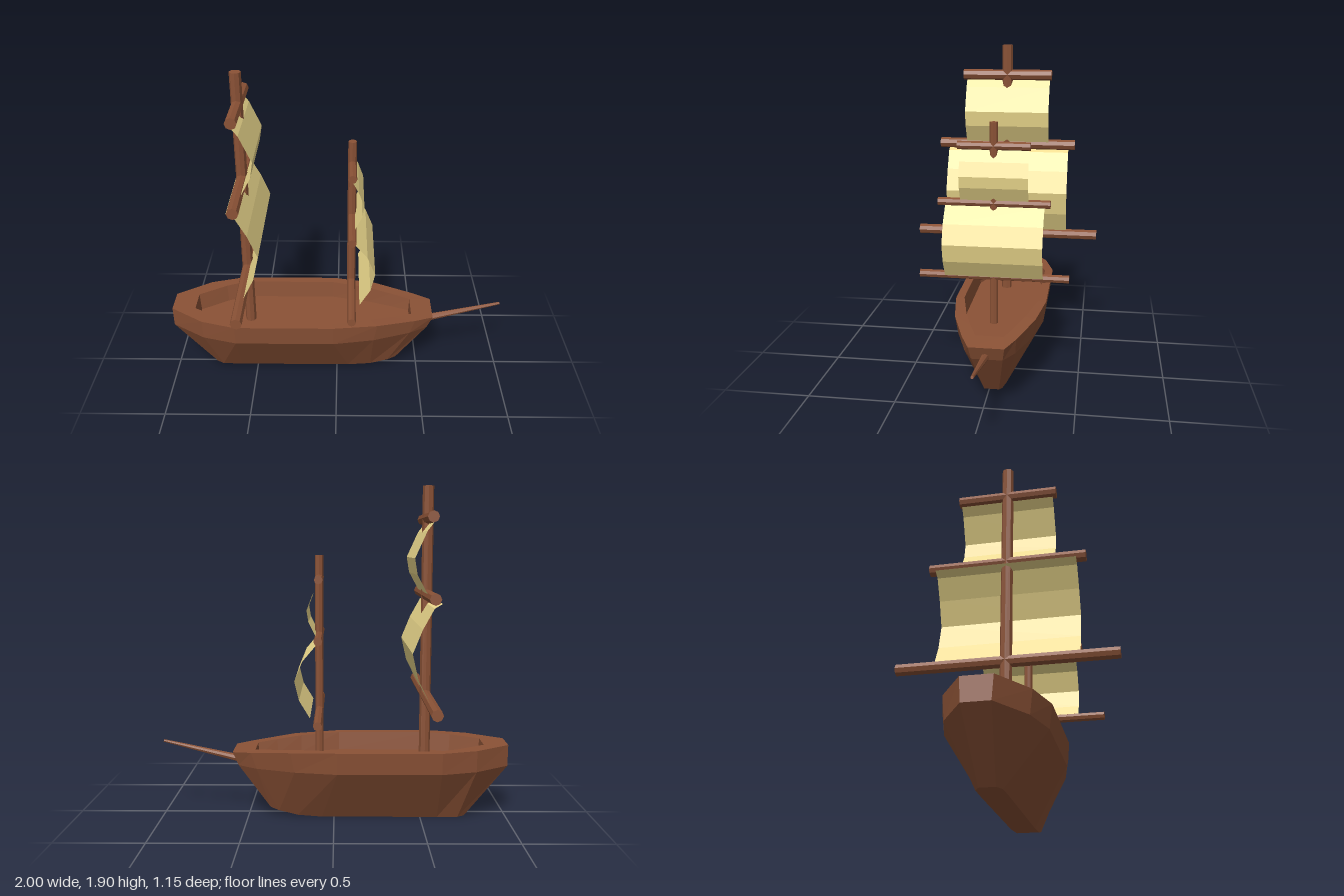
import * as THREE from 'three';

const wood = new THREE.MeshStandardMaterial({ color: 0x8b5236, flatShading: true });
const cloth = new THREE.MeshStandardMaterial({ color: 0xf0dc8f, flatShading: true, side: THREE.DoubleSide });
const HULL_Z = -0.027;

// Half outlines, stern to bow, as [x, y, half width]
const bottom = [[-0.76, 0, 0.04], [-0.72, 0, 0.063], [-0.6, 0, 0.065], [0.07, 0, 0.065], [0.21, 0.01, 0.063], [0.32, 0.035, 0.055], [0.37, 0.05, 0.042]];
const knuckle = [[-1, 0.31, 0.07], [-0.8, 0.31, 0.2], [-0.6, 0.31, 0.256], [-0.02, 0.31, 0.256], [0.22, 0.31, 0.215], [0.44, 0.31, 0.14], [0.548, 0.315, 0.085]];
const rim = [[-1, 0.435, 0.078], [-0.8, 0.435, 0.212], [-0.6, 0.435, 0.271], [-0.02, 0.435, 0.271], [0.24, 0.426, 0.23], [0.47, 0.405, 0.148], [0.58, 0.395, 0.097]];
const inner = [[-0.86, 0.435, 0.073], [-0.7, 0.435, 0.172], [-0.58, 0.435, 0.222], [-0.03, 0.435, 0.222], [0.2, 0.428, 0.17], [0.34, 0.416, 0.122], [0.45, 0.407, 0.078]];
const deck = inner.map(([x, , w]) => [x * 0.99, 0.33, w - 0.012]);

function add(group, name, geometry, material) {
  const mesh = new THREE.Mesh(geometry, material);
  mesh.name = name;
  group.add(mesh);
  return mesh;
}

// Skin the outlines from keel to rim and down to the deck
function hullGeometry() {
  const closed = (half) => [
    ...half.map(([x, y, w]) => [x, y, HULL_Z - w]),
    ...[...half].reverse().map(([x, y, w]) => [x, y, HULL_Z + w]),
  ];
  const rings = [bottom, knuckle, rim, inner, deck].map(closed);
  const count = rings[0].length;
  const pos = [];
  const quad = (a, b, c, d) => pos.push(...a, ...b, ...c, ...a, ...c, ...d);
  for (let r = 0; r < rings.length - 1; r++) {
    for (let i = 0; i < count; i++) {
      const j = (i + 1) % count;
      quad(rings[r][j], rings[r][i], rings[r + 1][i], rings[r + 1][j]);
    }
  }
  // Deck and keel caps join the two sides
  const keel = rings[0], floor = rings[rings.length - 1];
  for (let i = 0; i < count / 2 - 1; i++) {
    const m = count - 1 - i;
    quad(floor[i], floor[m], floor[m - 1], floor[i + 1]);
    quad(keel[i + 1], keel[m - 1], keel[m], keel[i]);
  }
  const g = new THREE.BufferGeometry();
  g.setAttribute('position', new THREE.Float32BufferAttribute(pos, 3));
  g.computeVertexNormals();
  return g;
}

// Tapered round spar between two points
function spar(group, name, from, to, r0, r1 = r0) {
  const a = new THREE.Vector3(...from), b = new THREE.Vector3(...to);
  const dir = b.clone().sub(a);
  const mesh = add(group, name, new THREE.CylinderGeometry(r1, r0, dir.length(), 8), wood);
  mesh.position.copy(a).add(b).multiplyScalar(0.5);
  mesh.quaternion.setFromUnitVectors(new THREE.Vector3(0, 1, 0), dir.normalize());
}

// Sail swept across the ship from an [x, y] profile running top to bottom
function sail(group, name, profile, halfWidth) {
  const g = new THREE.PlaneGeometry(1, 1, 1, profile.length - 1);
  const p = g.attributes.position;
  for (let i = 0; i < p.count; i++) {
    const [x, y] = profile[Math.floor(i / 2)];
    p.setXYZ(i, x, y, (i % 2 ? -halfWidth : halfWidth) - 0.004);
  }
  g.computeVertexNormals();
  add(group, name, g, cloth);
}

function rig(name, { x, top, radius, yards, sails }) {
  const group = new THREE.Group();
  group.name = name;
  spar(group, 'mast', [x, 0.32, 0], [x, top, 0], radius);
  yards.forEach(([y, half]) => spar(group, 'yard', [x, y, -half], [x, y, half], radius));
  sails.forEach(([profile, half]) => sail(group, 'sail', profile, half));
  return group;
}

export function createModel() {
  const ship = new THREE.Group();
  ship.name = 'sailingShip';
  add(ship, 'hull', hullGeometry(), wood);
  spar(ship, 'bowsprit', [0.52, 0.322, -0.018], [0.995, 0.438, -0.025], 0.023, 0.008);

  ship.add(rig('mainRig', {
    x: -0.53, top: 1.9, radius: 0.032,
    yards: [[1.72, 0.273], [1.29, 0.425], [0.71, 0.577]],
    sails: [
      [[[-0.535, 1.69], [-0.5, 1.645], [-0.435, 1.5], [-0.45, 1.41], [-0.51, 1.3]], 0.258],
      [[[-0.572, 1.265], [-0.53, 1.24], [-0.47, 1.13], [-0.418, 1], [-0.45, 0.86], [-0.51, 0.74]], 0.38],
    ],
  }));
  ship.add(rig('foreRig', {
    x: 0.085, top: 1.515, radius: 0.024,
    yards: [[1.382, 0.205], [1.057, 0.32], [0.62, 0.434]],
    sails: [
      [[[0.085, 1.36], [0.12, 1.295], [0.15, 1.215], [0.14, 1.15], [0.1, 1.07]], 0.194],
      [[[0.09, 1.04], [0.17, 0.945], [0.215, 0.835], [0.19, 0.73], [0.13, 0.63]], 0.283],
    ],
  }));
  return ship;
}
